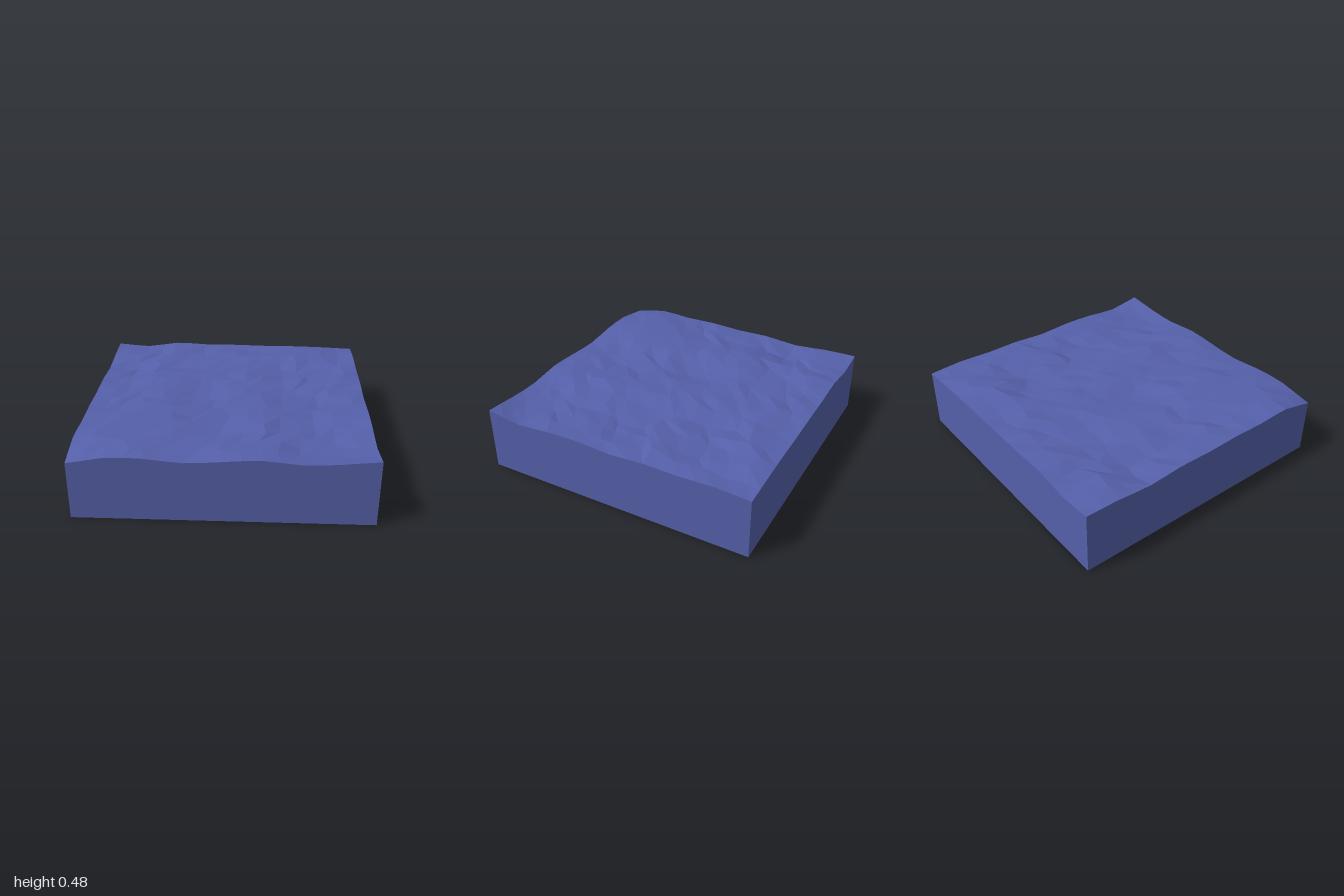
import * as THREE from 'three';

// Rim heights of each side, evenly spaced from the -1 end to the +1 end
const rim = (heights) => new THREE.SplineCurve(heights.map((h, i) => new THREE.Vector2(i, h)));
const front = rim([0.41, 0.455, 0.455, 0.43, 0.445, 0.46, 0.435, 0.445, 0.47]);
const back = rim([0.46, 0.44, 0.475, 0.465, 0.465, 0.46, 0.46, 0.455, 0.445]);
const plusX = rim([0.445, 0.46, 0.45, 0.455, 0.44, 0.455, 0.45, 0.43, 0.47]);
const minusX = rim([0.46, 0.455, 0.435, 0.455, 0.45, 0.46, 0.455, 0.465, 0.41]);
const at = (curve, t) => curve.getPoint(t).y;
const CELLS = 16;

// Small seeded random in -1..1
function seeded(seed) {
  return () => {
    seed = (seed * 16807) % 2147483647;
    return (seed / 2147483647) * 2 - 1;
  };
}

// Blend of the four rims across the inside
function blend(u, v) {
  const { lerp } = THREE.MathUtils;
  const sides = lerp(at(minusX, v), at(plusX, v), u) + lerp(at(back, u), at(front, u), v);
  const corners = lerp(lerp(at(back, 0), at(back, 1), u), lerp(at(front, 0), at(front, 1), u), v);
  return sides - corners;
}

// Irregular, faceted water surface
function surfaceGeometry() {
  const random = seeded(4711);
  const geometry = new THREE.PlaneGeometry(2, 2, CELLS, CELLS).rotateX(-Math.PI / 2);
  const p = geometry.attributes.position;
  for (let i = 0; i < p.count; i++) {
    let x = p.getX(i), z = p.getZ(i);
    const inside = Math.abs(x) < 0.999 && Math.abs(z) < 0.999;
    if (inside) {
      x += random() * 0.04;
      z += random() * 0.04;
    }
    let y = blend((x + 1) / 2, (z + 1) / 2);
    if (inside) {
      y += 0.01 * Math.sin(7 * x + 3 * z) * Math.cos(6 * z - 2 * x) + random() * 0.012;
      y = THREE.MathUtils.clamp(y, 0.42, 0.48);
    }
    p.setXYZ(i, x, y, z);
  }
  geometry.computeVertexNormals();
  return geometry;
}

// Flat wall in the xy plane, its top edge following a rim
function wallGeometry(curve, reversed) {
  const geometry = new THREE.PlaneGeometry(2, 1, CELLS, 1);
  const p = geometry.attributes.position;
  for (let i = 0; i < p.count; i++) {
    const t = (p.getX(i) + 1) / 2;
    p.setY(i, p.getY(i) > 0 ? at(curve, reversed ? 1 - t : t) : 0);
  }
  return geometry;
}

export function createModel() {
  const group = new THREE.Group();
  group.name = 'waterBlock';
  const material = new THREE.MeshStandardMaterial({
    color: 0x5560aa, flatShading: true, side: THREE.DoubleSide,
  });

  const surface = new THREE.Mesh(surfaceGeometry(), material);
  surface.name = 'waterSurface';
  group.add(surface);

  // Four side walls; the underside stays open
  const walls = [
    ['frontWall', front, false, 0],
    ['leftWall', plusX, true, Math.PI / 2],
    ['backWall', back, true, Math.PI],
    ['rightWall', minusX, false, -Math.PI / 2],
  ];
  for (const [name, curve, reversed, angle] of walls) {
    const geometry = wallGeometry(curve, reversed).translate(0, 0, 1).rotateY(angle);
    const wall = new THREE.Mesh(geometry, material);
    wall.name = name;
    group.add(wall);
  }
  return group;
}
